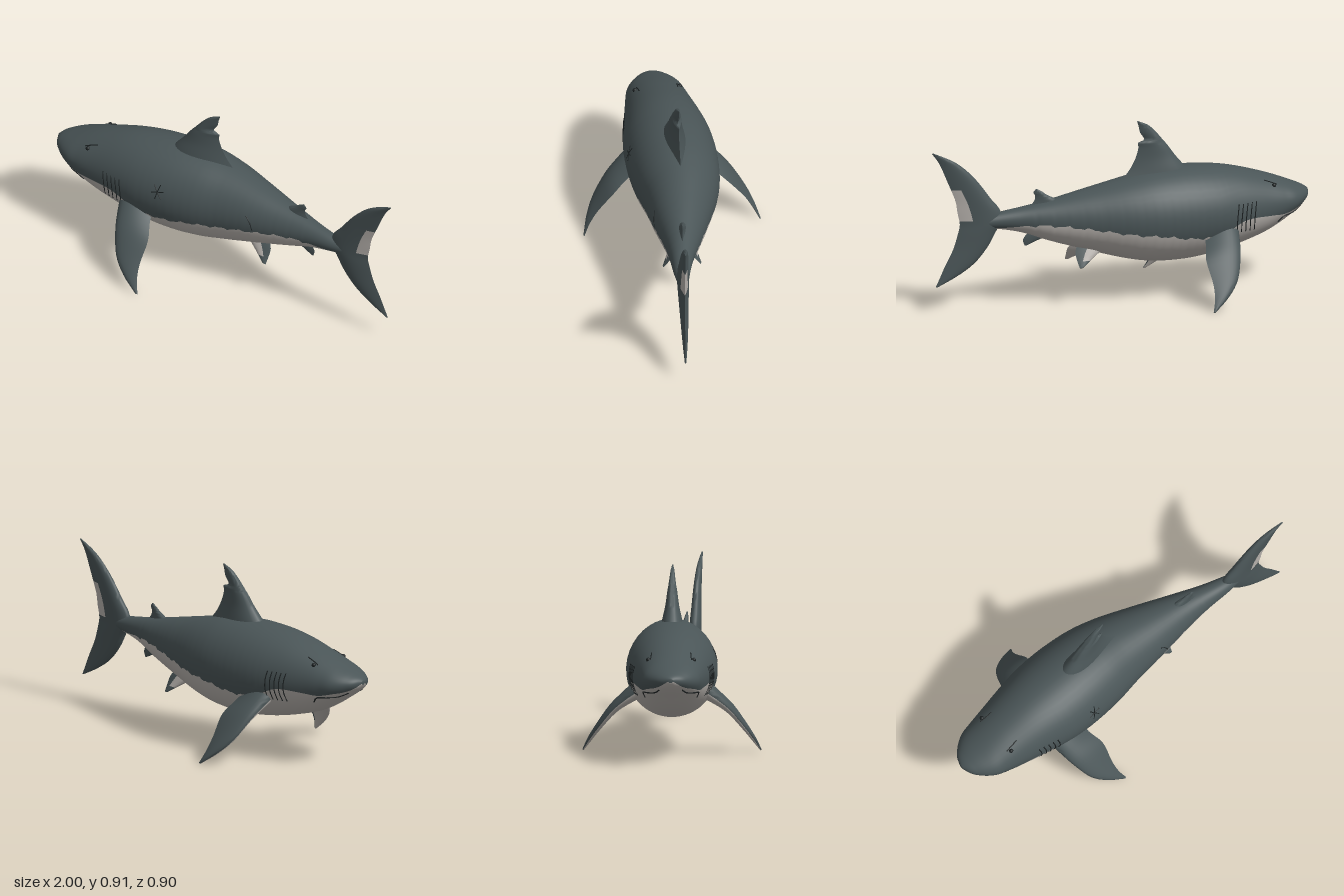
import * as THREE from 'three';
import { toCreasedNormals } from 'three/addons/utils/BufferGeometryUtils.js';

const flat = (name, color) => Object.assign(new THREE.MeshStandardMaterial({ color }), { name });

// Smooth interpolation through rows of numbers
function smoothTable(keys, rows) {
  const size = rows[0].length;
  const curve = new THREE.CubicInterpolant(keys, rows.flat(), size, new Float32Array(size));
  return t => Array.from(curve.evaluate(t));
}

// Closed skin over rings of points; pick(i, j) gives the material index of each quad
function loft(rings, pick) {
  const n = rings[0].length, last = rings.length - 1;
  const verts = rings.flat();
  const lists = [[], []];
  for (let i = 0; i < last; i++) {
    for (let j = 0; j < n; j++) {
      const a = i * n + j, b = i * n + (j + 1) % n;
      lists[pick(i, j)].push(a, b, b + n, a, b + n, a + n);
    }
  }
  for (const i of [0, last]) {
    const mid = rings[i].reduce((s, p) => s.add(p), new THREE.Vector3()).divideScalar(n);
    const c = verts.push(mid) - 1;
    for (let j = 0; j < n; j++) {
      const a = i * n + j, b = i * n + (j + 1) % n;
      lists[0].push(...(i ? [a, b, c] : [b, a, c]));
    }
  }
  // Turn the faces outward if the skin came out reversed
  let volume = 0;
  const cross = new THREE.Vector3();
  for (const l of lists) for (let k = 0; k < l.length; k += 3) {
    volume += verts[l[k]].dot(cross.crossVectors(verts[l[k + 1]], verts[l[k + 2]]));
  }
  if (volume < 0) lists.forEach(l => l.reverse());
  const geo = new THREE.BufferGeometry().setFromPoints(verts);
  geo.setIndex(lists.flat());
  geo.addGroup(0, lists[0].length, 0);
  geo.addGroup(lists[0].length, lists[1].length, 1);
  geo.computeVertexNormals();
  return geo;
}

// Sideways swing of the spine towards the tail
const bendTable = smoothTable([-1, -0.15, 0, 0.19, 0.4, 0.62, 0.72, 0.83, 1],
  [[0], [0], [0.005], [0.03], [0.06], [0.098], [0.108], [0.118], [0.14]]);
const bend = x => (x < -0.15 ? 0 : bendTable(x)[0]);

// Body stations: x, top, bottom, half width, height of the colour line
const stations = [
  [-1, 0.465, 0.445, 0.012, 0.453], [-0.985, 0.478, 0.425, 0.05, 0.435],
  [-0.95, 0.497, 0.395, 0.092, 0.415], [-0.89, 0.523, 0.355, 0.135, 0.4],
  [-0.82, 0.552, 0.31, 0.155, 0.385], [-0.74, 0.581, 0.27, 0.172, 0.39],
  [-0.58, 0.628, 0.222, 0.204, 0.39], [-0.45, 0.65, 0.195, 0.225, 0.335],
  [-0.3, 0.66, 0.18, 0.23, 0.33], [-0.13, 0.65, 0.187, 0.216, 0.358],
  [0, 0.627, 0.212, 0.19, 0.372], [0.19, 0.585, 0.268, 0.145, 0.402],
  [0.4, 0.538, 0.335, 0.09, 0.428], [0.52, 0.515, 0.38, 0.062, 0.428],
  [0.64, 0.495, 0.408, 0.042, 0.42], [0.74, 0.475, 0.42, 0.024, 0.425],
];
const station = smoothTable(stations.map(s => s[0]), stations.map(s => s.slice(1)));

function bodyGeometry() {
  const rings = [], up = 26, down = 22, steps = 130;
  for (let i = 0; i <= steps; i++) {
    const x = -1 + 1.74 * (i / steps) ** 1.4;
    const [top, bottom, w, line] = station(x);
    const cy = (top + bottom) / 2, h = (top - bottom) / 2;
    const ragged = x > -0.5 && x < 0.55 ? 0.005 * Math.sin(x * 61) + 0.004 * Math.sin(x * 137 + 1) : 0;
    const a = Math.asin(THREE.MathUtils.clamp((line + ragged - cy) / h, -0.97, 0.9));
    const ring = [];
    for (let j = 0; j < up + down; j++) {
      const t = j < up
        ? a + (Math.PI - 2 * a) * j / up
        : Math.PI - a + (Math.PI + 2 * a) * (j - up) / down;
      ring.push(new THREE.Vector3(x, cy + h * Math.sin(t), bend(x) + w * Math.cos(t)));
    }
    rings.push(ring);
  }
  return loft(rings, (i, j) => (j >= up ? 1 : 0));
}

// Point on the flank at a given x and y
function onSkin(x, y, side) {
  const [top, bottom, w] = station(x);
  const s = (2 * y - top - bottom) / (top - bottom);
  return new THREE.Vector3(x, y, bend(x) + side * w * Math.sqrt(Math.max(0, 1 - s * s)));
}

// Fin rows: y, z, leading x, trailing x, half thickness. The thickness runs along (ny, nz).
function finGeometry(rows, ny, nz, pick = () => 0) {
  const at = smoothTable(rows.map((_, i) => i), rows);
  const N = 14, sub = 4, rings = [], info = [];
  for (let i = 0; i <= (rows.length - 1) * sub; i++) {
    const [y, z, lead, trail, half] = at(i / sub);
    const ring = [];
    for (let j = 0; j < 2 * N; j++) {
      const c = (1 - Math.cos(Math.PI * (j <= N ? j : 2 * N - j) / N)) / 2;
      const t = (j <= N ? 1 : -1) * half * 2.6 * Math.sqrt(c) * (1 - c);
      const x = lead + (trail - lead) * c;
      ring.push(new THREE.Vector3(x, y + ny * t, z + nz * t + bend(x)));
    }
    rings.push(ring);
    info.push(y);
  }
  const chord = j => (1 - Math.cos(Math.PI * (j < N ? j + 0.5 : 2 * N - j - 0.5) / N)) / 2;
  return toCreasedNormals(loft(rings, (i, j) => pick(info[i], chord(j), j < N)), 1.1);
}

export function createModel() {
  const model = new THREE.Group();
  const slate = flat('slate back', 0x4a5557);
  const pale = flat('pale belly', 0xb8b3ae);
  const dark = flat('dark crease', 0x1d2223);
  const add = (name, geo, mat) => {
    const mesh = new THREE.Mesh(geo, mat);
    mesh.name = name;
    model.add(mesh);
    return mesh;
  };
  const skin = [slate, pale];

  add('body', bodyGeometry(), skin);

  // Fins on the centre line
  add('dorsalFin', finGeometry([
    [0.6, 0, -0.37, 0.03, 0.062], [0.66, 0, -0.325, -0.025, 0.05], [0.72, 0, -0.275, -0.06, 0.036],
    [0.775, 0, -0.235, -0.077, 0.028], [0.802, 0, -0.212, -0.075, 0.024], [0.817, 0, -0.2, -0.108, 0.021],
    [0.855, 0, -0.168, -0.086, 0.015], [0.89, 0, -0.13, -0.078, 0.01], [0.915, 0, -0.078, -0.07, 0.003],
  ], 0, 1), skin);
  add('rearDorsalFin', finGeometry([
    [0.51, 0, 0.31, 0.49, 0.022], [0.545, 0, 0.355, 0.462, 0.016], [0.57, 0, 0.4, 0.46, 0.01],
    [0.585, 0, 0.42, 0.468, 0.007], [0.602, 0, 0.448, 0.456, 0.003],
  ], 0, 1), skin);
  add('analFin', finGeometry([
    [0.385, 0, 0.36, 0.49, 0.016], [0.355, 0, 0.4, 0.515, 0.012],
    [0.335, 0, 0.45, 0.52, 0.008], [0.312, 0, 0.5, 0.512, 0.003],
  ], 0, 1), skin);
  add('tailFin', finGeometry([
    [0.13, 0, 0.965, 0.975, 0.004], [0.18, 0, 0.865, 0.952, 0.012], [0.24, 0, 0.775, 0.925, 0.018],
    [0.32, 0, 0.705, 0.885, 0.023], [0.4, 0, 0.66, 0.86, 0.028], [0.45, 0, 0.63, 0.85, 0.03],
    [0.51, 0, 0.64, 0.862, 0.028], [0.57, 0, 0.687, 0.872, 0.025], [0.63, 0, 0.73, 0.895, 0.022],
    [0.69, 0, 0.778, 0.92, 0.019], [0.75, 0, 0.84, 0.945, 0.015], [0.79, 0, 0.9, 0.966, 0.011],
    [0.83, 0, 0.985, 0.995, 0.003],
  ], 0, 1, (y, c) => (y > 0.45 && y < 0.62 && c > 0.76 ? 1 : 0)), skin);

  for (const side of [1, -1]) {
    const label = side > 0 ? 'left' : 'right';

    // Paired fins, pale underneath
    add(label + 'PectoralFin', finGeometry([
      [0.35, 0.15, -0.555, -0.36, 0.05], [0.3, 0.222, -0.535, -0.35, 0.036], [0.235, 0.297, -0.508, -0.32, 0.025],
      [0.14, 0.37, -0.462, -0.325, 0.017], [0.07, 0.415, -0.395, -0.317, 0.012], [0.007, 0.448, -0.308, -0.295, 0.004],
    ].map(r => [r[0], r[1] * side, ...r.slice(2)]), 0.7, 0.7 * side,
    (y, c, outer) => (!outer && c < 0.9 ? 1 : 0)), skin);
    add(label + 'PelvicFin', finGeometry([
      [0.31, 0.025, 0.09, 0.25, 0.02], [0.27, 0.048, 0.14, 0.272, 0.016],
      [0.235, 0.07, 0.195, 0.272, 0.01], [0.2, 0.095, 0.25, 0.268, 0.004],
    ].map(r => [r[0], r[1] * side, ...r.slice(2)]), 0.55, 0.83 * side,
    (y, c, outer) => (!outer || (y > 0.23 && c < 0.6) ? 1 : 0)), skin);

    // Creases drawn on the skin
    const crease = (name, pts, r = 0.003) => {
      const curve = new THREE.CatmullRomCurve3(pts.map(p => onSkin(p[0], p[1], side)));
      add(name, new THREE.TubeGeometry(curve, 16, r, 6), dark);
    };
    for (let g = 0; g < 5; g++) {
      const x = -0.645 + g * 0.026;
      crease(label + 'Gill', [[x, 0.48], [x + 0.008, 0.44], [x + 0.012, 0.385], [x + 0.006, 0.33]]);
    }
    crease(label + 'Mouth', [[-0.95, 0.405], [-0.91, 0.385], [-0.86, 0.378], [-0.81, 0.372], [-0.785, 0.345]], 0.004);
    crease(label + 'Brow', [[-0.79, 0.532], [-0.76, 0.545], [-0.72, 0.56]]);
    const eye = add(label + 'Eye', new THREE.SphereGeometry(0.011, 16, 12), dark);
    eye.position.copy(onSkin(-0.77, 0.531, side));

    // Old scars on the left flank only
    if (side > 0) {
      for (let k = 0; k < 3; k++) {
        const a = 0.2 + k * Math.PI / 3, dx = 0.034 * Math.cos(a), dy = 0.042 * Math.sin(a);
        crease('flankScar', [[-0.31 - dx, 0.495 - dy], [-0.31, 0.495], [-0.31 + dx, 0.495 + dy]], 0.0025);
      }
      crease('rearScar', [[0.17, 0.49], [0.195, 0.46], [0.21, 0.415]], 0.0025);
    }
  }
  return model;
}
